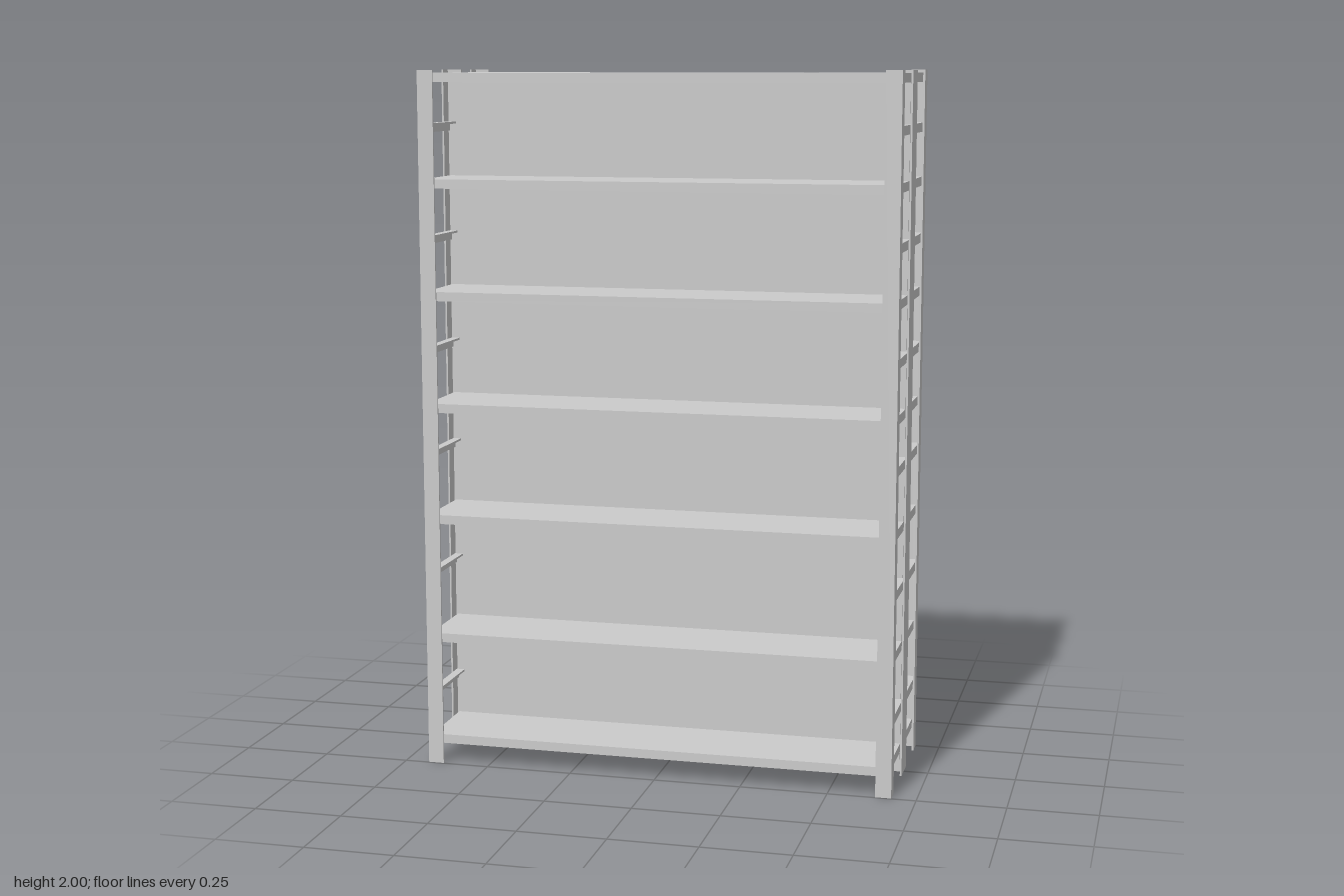
import * as THREE from 'three';

const material = new THREE.MeshStandardMaterial({ color: 0xcccccc, flatShading: true });

// Box given by its minimum and maximum along each axis
function box(name, [x0, x1], [y0, y1], [z0, z1]) {
  const geometry = new THREE.BoxGeometry(x1 - x0, y1 - y0, z1 - z0);
  geometry.translate((x0 + x1) / 2, (y0 + y1) / 2, (z0 + z1) / 2);
  const mesh = new THREE.Mesh(geometry, material);
  mesh.name = name;
  return mesh;
}

const HALF_WIDTH = 0.68;
const DEPTH = 0.247;
const HEIGHT = 2;
const FLANGE = 0.045;
const GAUGE = 0.005;
const SHELF_TOPS = [0.085, 0.388, 0.737, 1.06, 1.38, 1.697, 1.992];
const BAR_TOPS = [0.217, 0.573, 0.922, 1.222, 1.537, 1.852];

// Angle-section post: corner at the origin, flanges towards +x and +z
function anglePost(name, x, z, sx, sz) {
  const points = [[0, 0], [FLANGE, 0], [FLANGE, GAUGE], [GAUGE, GAUGE], [GAUGE, FLANGE], [0, FLANGE]]
    .map(([px, pz]) => new THREE.Vector2(x + sx * px, -(z + sz * pz)));
  const geometry = new THREE.ExtrudeGeometry(new THREE.Shape(points), { depth: HEIGHT, bevelEnabled: false });
  geometry.rotateX(-Math.PI / 2);
  const mesh = new THREE.Mesh(geometry, material);
  mesh.name = name;
  return mesh;
}

// One single-sided shelving unit, backing onto z = 0 and open towards +z
function shelvingUnit(name) {
  const unit = new THREE.Group();
  unit.name = name;

  const plateX = HALF_WIDTH - GAUGE;
  const shelfX = plateX - 0.006;

  for (const s of [-1, 1]) {
    const side = s > 0 ? 'left' : 'right';
    unit.add(anglePost(side + 'FrontPost', s * HALF_WIDTH, DEPTH, -s, -1));
    unit.add(anglePost(side + 'RearPost', s * HALF_WIDTH, 0, -s, 1));

    // Angle-section rungs between the posts, midway between shelves
    for (const top of BAR_TOPS) {
      const span = [GAUGE, DEPTH - GAUGE];
      const across = (a, b) => (s > 0 ? [a, b] : [-b, -a]);
      unit.add(box(side + 'SideBar', across(plateX - 0.006, plateX), [top - 0.026, top], span));
      unit.add(box(side + 'SideBarFlange', across(plateX - 0.024, plateX - 0.006), [top - 0.006, top], span));
    }
  }

  // Shelf boards
  for (const top of SHELF_TOPS) {
    unit.add(box('shelf', [-shelfX, shelfX], [top - 0.026, top], [GAUGE, DEPTH - 0.007]));
  }

  // Rear sheet
  unit.add(box('backPanel', [-shelfX, shelfX], [0.037, 1.99], [GAUGE, GAUGE + 0.004]));
  return unit;
}

export function createModel() {
  const model = new THREE.Group();
  model.name = 'doubleSidedShelving';

  // Two units back to back
  const front = shelvingUnit('frontUnit');
  const back = shelvingUnit('backUnit');
  back.rotation.y = Math.PI;
  model.add(front, back);
  return model;
}
